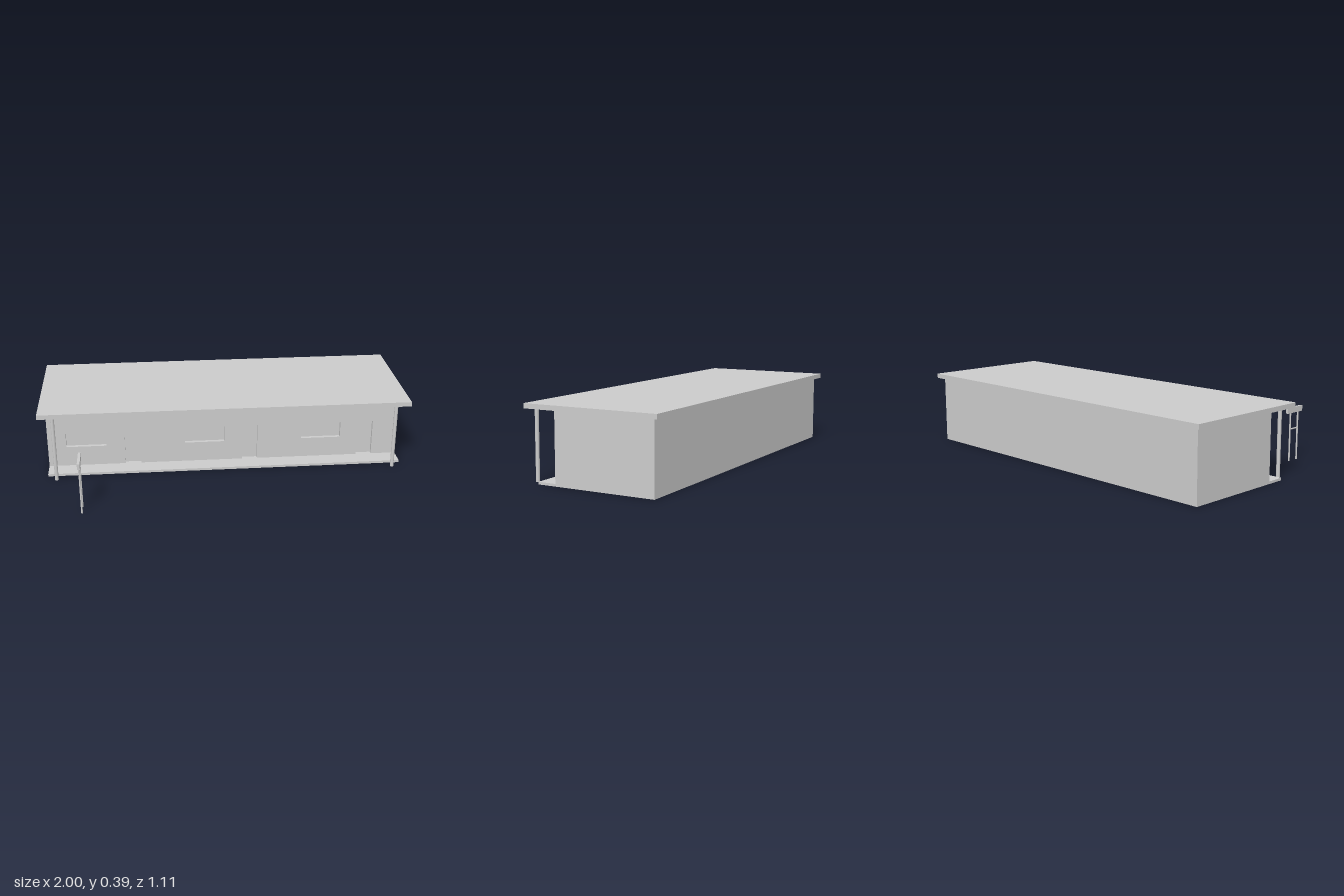
import * as THREE from 'three';

const material = new THREE.MeshStandardMaterial({ color: 0xcccccc });

function add(parent, name, geometry) {
  const mesh = new THREE.Mesh(geometry, material);
  mesh.name = name;
  parent.add(mesh);
  return mesh;
}

// Box given by its extents along each axis
function box(parent, name, [x0, x1], [y0, y1], [z0, z1]) {
  const mesh = add(parent, name, new THREE.BoxGeometry(x1 - x0, y1 - y0, z1 - z0));
  mesh.position.set((x0 + x1) / 2, (y0 + y1) / 2, (z0 + z1) / 2);
  return mesh;
}

// Upright round post standing on the ground
function post(parent, name, x, z, radius, height) {
  const mesh = add(parent, name, new THREE.CylinderGeometry(radius, radius, height, 16));
  mesh.position.set(x, height / 2, z);
  return mesh;
}

function rectangle(path, x0, y0, x1, y1) {
  path.moveTo(x0, y0);
  path.lineTo(x1, y0);
  path.lineTo(x1, y1);
  path.lineTo(x0, y1);
  path.closePath();
  return path;
}

export function createModel() {
  const model = new THREE.Group();
  model.name = 'roadsideLodge';

  const halfWidth = 0.97, wallTop = 0.365, slabTop = 0.013;
  const back = -0.525, front = 0.015, recess = 0.02;

  // Building body; its front face forms the recessed doors and windows
  const building = new THREE.Group();
  building.name = 'building';
  model.add(building);
  box(building, 'body', [-halfWidth, halfWidth], [0, wallTop], [back, front - recess]);

  // Front wall pierced by three windows and three doors
  const wall = rectangle(new THREE.Shape(), -halfWidth, 0, halfWidth, wallTop);
  for (const x of [-0.87, -0.22, 0.43]) {
    wall.holes.push(rectangle(new THREE.Path(), x, 0.125, x + 0.22, 0.215));
  }
  for (const x of [-0.55, 0.098, 0.747]) {
    wall.holes.push(rectangle(new THREE.Path(), x, slabTop, x + 0.086, 0.215));
  }
  const frontWall = add(building, 'frontWall',
    new THREE.ExtrudeGeometry(wall, { depth: recess, bevelEnabled: false }));
  frontWall.position.z = front - recess;

  // Walkway and overhanging flat roof
  box(building, 'walkway', [-halfWidth, halfWidth], [0, slabTop], [front, 0.113]);
  box(building, 'roof', [-1, 1], [wallTop, 0.39], [-0.555, 0.17]);

  // Posts under the front corners of the roof
  for (const side of [-1, 1]) post(building, 'roofPost', side * 0.921, 0.153, 0.01, wallTop);

  // Free-standing roadside sign: board, two legs and a crossbar
  const sign = new THREE.Group();
  sign.name = 'roadsideSign';
  model.add(sign);
  const signX = -0.769;
  box(sign, 'signBoard', [signX - 0.007, signX + 0.007], [0.263, 0.293], [0.428, 0.557]);
  for (const z of [0.46, 0.526]) post(sign, 'signLeg', signX, z, 0.0045, 0.263);
  const bar = add(sign, 'signCrossbar', new THREE.CylinderGeometry(0.004, 0.004, 0.066, 16));
  bar.rotation.x = Math.PI / 2;
  bar.position.set(signX, 0.175, 0.493);

  return model;
}
